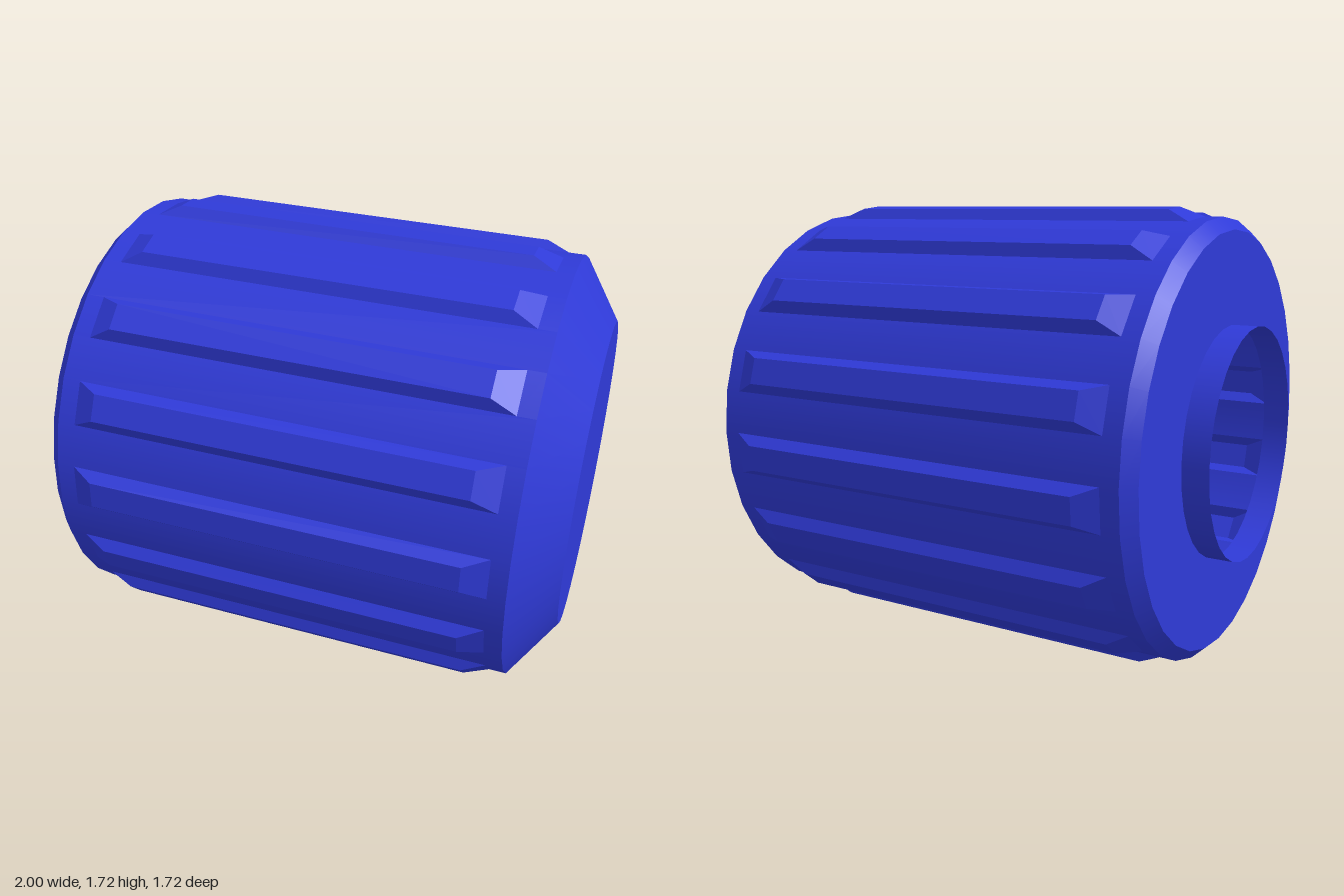
import * as THREE from 'three';
import { mergeGeometries } from 'three/addons/utils/BufferGeometryUtils.js';

const SIDES = 32;
const STEP = (Math.PI * 2) / SIDES;
const R = 0.827; // body radius
const CENTRE_Y = 0.862;

const material = new THREE.MeshStandardMaterial({ color: 0x2f3ad8, side: THREE.DoubleSide });

// One band of revolution between two [radius, position] points
function band(a, b, start = 0, segments = SIDES) {
  const points = [new THREE.Vector2(...a), new THREE.Vector2(...b)];
  return new THREE.LatheGeometry(points, segments, start, STEP * segments);
}

// Open-bottomed grip ridge with sloping sides and ends, facing +z
function ridgeGeometry() {
  const w = R * Math.sin(STEP / 2), z = R * Math.cos(STEP / 2);
  const loop = (hw, y0, y1, d) => [-hw, y0, d, hw, y0, d, hw, y1, d, -hw, y1, d];
  const geometry = new THREE.BufferGeometry();
  const corners = [...loop(w, -0.785, 0.78, z), ...loop(0.05, -0.7, 0.69, 0.8615)];
  geometry.setAttribute('position', new THREE.Float32BufferAttribute(corners, 3));
  const index = [4, 5, 6, 4, 6, 7];
  for (let i = 0; i < 4; i++) {
    const j = (i + 1) % 4;
    index.push(i, j, j + 4, i, j + 4, i + 4);
  }
  geometry.setIndex(index);
  const flat = geometry.toNonIndexed();
  flat.computeVertexNormals();
  return flat;
}

export function createModel() {
  const model = new THREE.Group();
  model.name = 'knob';
  const knob = new THREE.Group();
  knob.name = 'knobBody';
  // The axis of revolution lies along x
  knob.rotation.z = -Math.PI / 2;
  knob.position.y = CENTRE_Y;
  model.add(knob);

  const add = (name, geometry) => {
    const mesh = new THREE.Mesh(geometry, material);
    mesh.name = name;
    knob.add(mesh);
  };

  add('collar', band([0.437, -1], [0.437, -0.9]));
  add('backFace', band([0.437, -0.9], [0.782, -0.9]));
  add('backChamfer', band([0.782, -0.9], [R, -0.853]));
  add('frontBevel', band([R, 0.845], [0.597, 1]));
  add('frontFace', band([0.597, 1], [0, 1]));

  // Hollow side wall: plain facets alternate with facets opened under a ridge
  const wall = [], ridges = [];
  const ridge = ridgeGeometry();
  for (let k = 0; k < SIDES; k += 2) {
    const a = k * STEP, b = a + STEP;
    wall.push(
      band([R, -0.853], [R, 0.845], a, 1),
      band([R, -0.853], [R, -0.785], b, 1),
      band([R, 0.78], [R, 0.845], b, 1)
    );
    ridges.push(ridge.clone().rotateY(b + STEP / 2));
  }
  add('sideWall', mergeGeometries(wall));
  add('gripRidges', mergeGeometries(ridges));
  return model;
}
